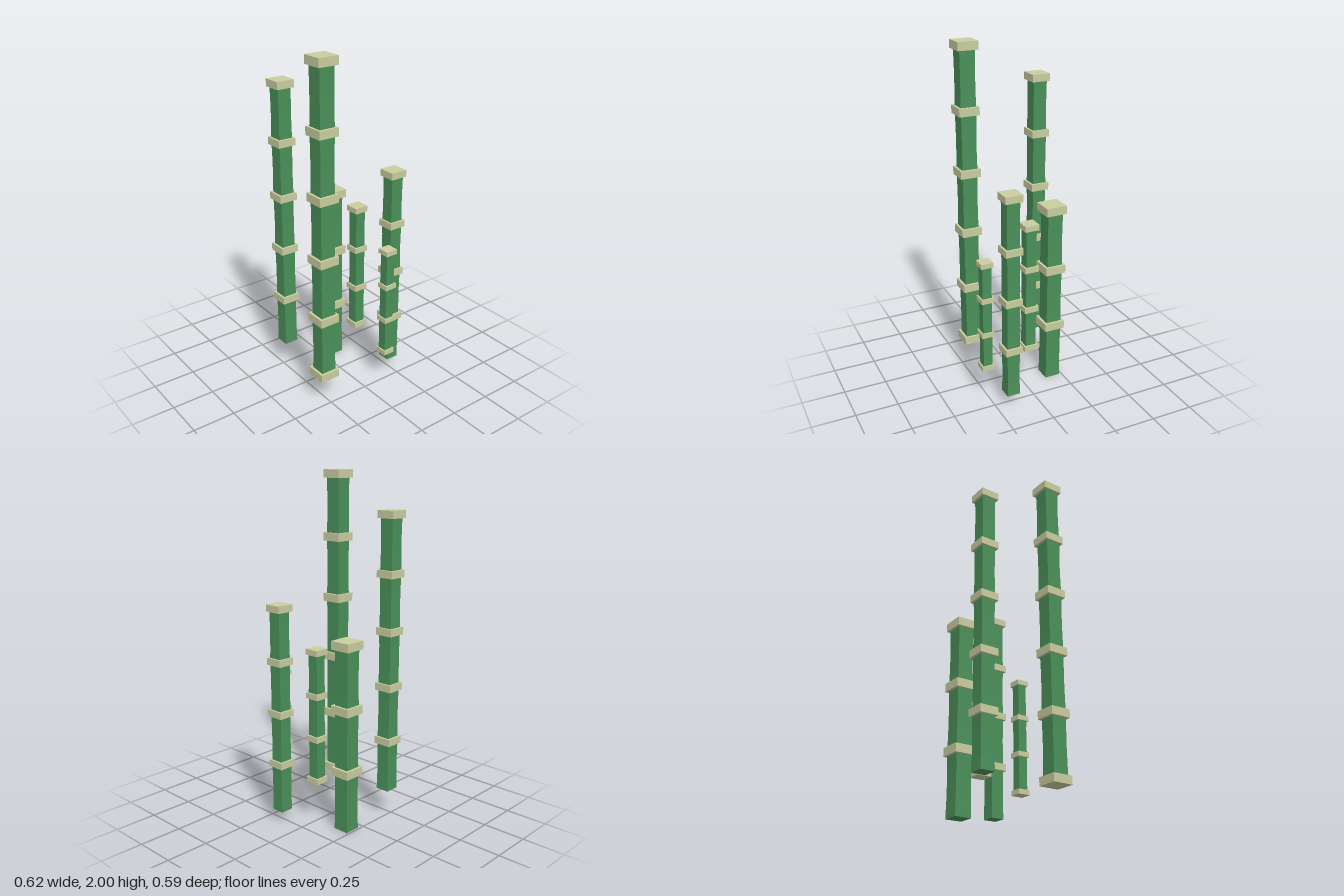
import * as THREE from 'three';

const green = new THREE.MeshStandardMaterial({ color: 0x4a9059, flatShading: true });
const tan = new THREE.MeshStandardMaterial({ color: 0xc9cd9f, flatShading: true });

// x, z, ring width, top ring centre, ring spacing, number of rings, foot height
const stalks = [
  [-0.251, 0.187, 0.121, 1.976, 0.359, 6, 0.16],
  [-0.219, -0.240, 0.109, 1.772, 0.3245, 5, 0.167],
  [0.080, -0.190, 0.124, 1.086, 0.366, 3, 0],
  [0.140, -0.017, 0.085, 1.030, 0.2525, 4, 0.256],
  [0.259, 0.152, 0.102, 1.270, 0.303, 4, 0.07],
  [0.1455, 0.255, 0.073, 0.858, 0.216, 4, 0.194],
];

// Square cane segment, slightly narrower at mid height
function segmentGeometry(width, y0, y1) {
  const h = y1 - y0;
  const g = new THREE.BoxGeometry(width, h, width, 1, 4, 1);
  const p = g.attributes.position;
  for (let i = 0; i < p.count; i++) {
    const t = (2 * p.getY(i)) / h;
    const s = 0.95 + 0.05 * t * t;
    p.setX(i, p.getX(i) * s);
    p.setZ(i, p.getZ(i) * s);
  }
  g.translate(0, (y0 + y1) / 2, 0);
  g.computeVertexNormals();
  return g;
}

function makeStalk([x, z, width, top, spacing, count, foot]) {
  const stalk = new THREE.Group();
  stalk.name = 'stalk';
  stalk.position.set(x, 0, z);
  const ringHeight = width * 0.39;
  for (let i = 0; i < count; i++) {
    const y = top - i * spacing;
    const ring = new THREE.Mesh(new THREE.BoxGeometry(width, ringHeight, width), tan);
    ring.name = 'nodeRing';
    ring.position.y = y;
    stalk.add(ring);

    // Cane below this ring, unless the ring is the foot
    const low = i < count - 1 ? y - spacing : foot;
    if (y - low > ringHeight) {
      const cane = new THREE.Mesh(segmentGeometry(width * 0.765, low, y), green);
      cane.name = 'caneSegment';
      stalk.add(cane);
    }
  }
  return stalk;
}

export function createModel() {
  const group = new THREE.Group();
  group.name = 'bambooCluster';
  stalks.forEach((s) => group.add(makeStalk(s)));
  return group;
}
